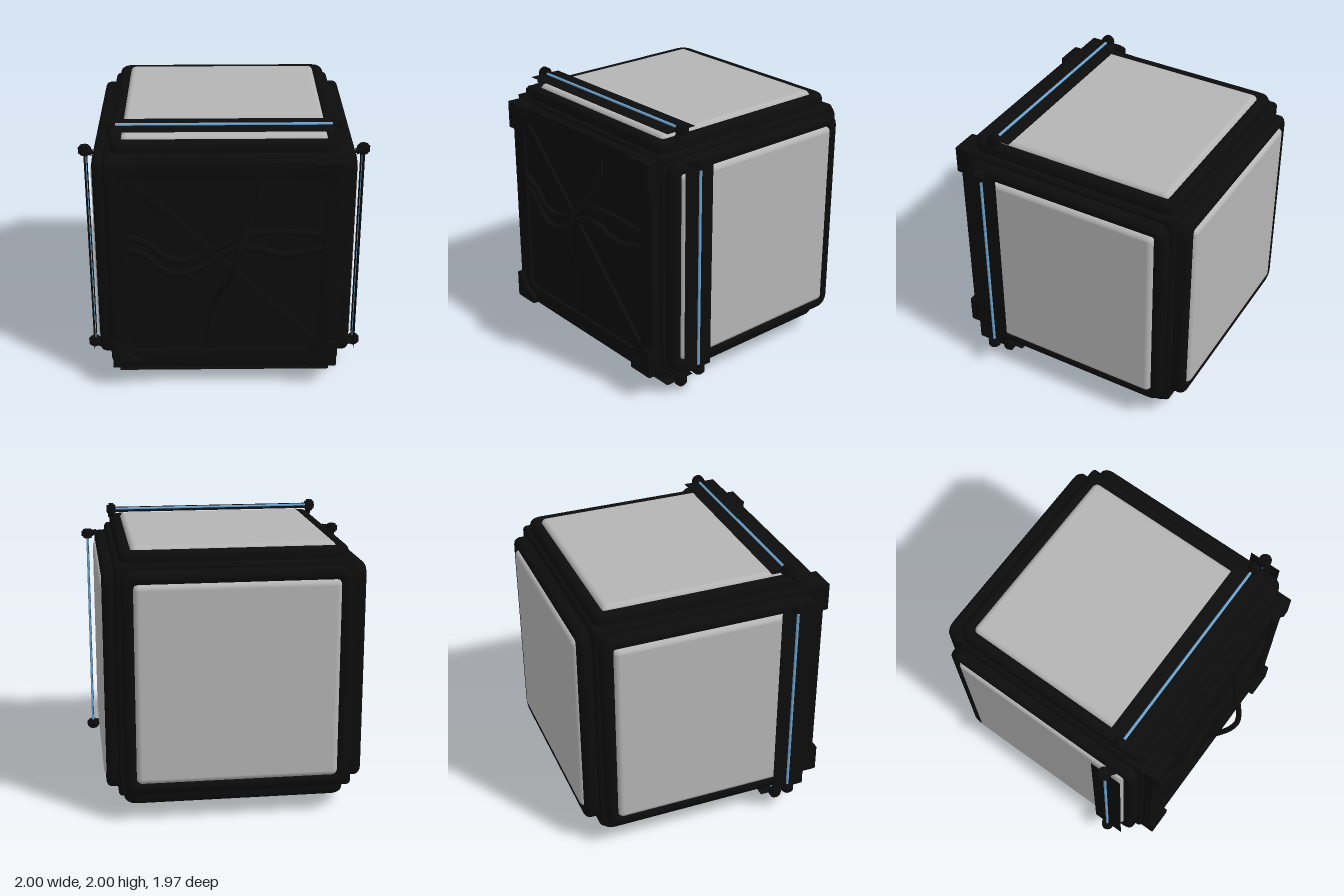
import * as THREE from 'three';
import { RoundedBoxGeometry } from 'three/addons/geometries/RoundedBoxGeometry.js';
import { toCreasedNormals } from 'three/addons/utils/BufferGeometryUtils.js';

const mat = (name, color, side = THREE.FrontSide) => {
  const m = new THREE.MeshStandardMaterial({ color, side });
  m.name = name;
  return m;
};

function add(parent, name, geometry, material, x = 0, y = 0, z = 0) {
  const mesh = new THREE.Mesh(geometry, material);
  mesh.name = name;
  mesh.position.set(x, y, z);
  parent.add(mesh);
  return mesh;
}

// Polygon with rounded corners
function roundedPoly(points, r, Type = THREE.Shape) {
  const path = new Type();
  const v = points.map(p => new THREE.Vector2(...p));
  v.forEach((p, i) => {
    const prev = v[(i + v.length - 1) % v.length], next = v[(i + 1) % v.length];
    const a = p.clone().add(prev.clone().sub(p).setLength(r));
    const b = p.clone().add(next.clone().sub(p).setLength(r));
    i ? path.lineTo(a.x, a.y) : path.moveTo(a.x, a.y);
    path.quadraticCurveTo(p.x, p.y, b.x, b.y);
  });
  path.closePath();
  return path;
}
const square = h => [[-h, -h], [h, -h], [h, h], [-h, h]];

function extrude(shape, depth, bevel, segments = 4) {
  const g = new THREE.ExtrudeGeometry(shape, {
    depth, bevelThickness: bevel, bevelSize: bevel, bevelSegments: segments, curveSegments: 6,
  });
  return toCreasedNormals(g, 0.6);
}

// Round rod between two points
function rod(parent, name, a, b, r, material) {
  const curve = new THREE.LineCurve3(new THREE.Vector3(...a), new THREE.Vector3(...b));
  return add(parent, name, new THREE.TubeGeometry(curve, 1, r, 10), material);
}

export function createModel() {
  const model = new THREE.Group();
  model.name = 'illuminatedCube';
  const black = mat('blackPlastic', 0x0c0c0c);
  const blackSheet = mat('blackSheet', 0x0c0c0c, THREE.DoubleSide);
  const grey = mat('greyPanel', 0xb4b4b4);
  const blue = mat('blueTube', 0x6ba3d0);

  // Cube body, centred slightly behind the origin
  const cube = new THREE.Group();
  cube.name = 'cube';
  cube.position.set(0, 1, -0.08);
  model.add(cube);
  add(cube, 'core', new RoundedBoxGeometry(1.64, 1.64, 1.62, 3, 0.03), black);

  // Framed panel on each of the five closed faces
  const frameShape = roundedPoly(square(0.74), 0.06);
  frameShape.holes.push(roundedPoly(square(0.73), 0.05, THREE.Path));
  const frameGeo = extrude(frameShape, 0.08, 0.04);
  const panelGeo = new RoundedBoxGeometry(1.4, 1.4, 0.14, 4, 0.04);
  const H = Math.PI / 2;
  const faces = [['left', 0, H], ['right', 0, -H], ['top', -H, 0], ['bottom', H, 0], ['back', 0, Math.PI]];
  for (const [name, rx, ry] of faces) {
    const face = new THREE.Group();
    face.name = name + 'Face';
    face.rotation.set(rx, ry, 0);
    cube.add(face);
    add(face, name + 'Frame', frameGeo, black, 0, 0, 0.78);
    add(face, name + 'Panel', panelGeo, grey, 0, 0, 0.845);
  }

  // Front door: backing plate and a frame with a diagonal brace
  const front = new THREE.Group();
  front.name = 'front';
  front.position.y = 1;
  model.add(front);
  add(front, 'frontBacking', new THREE.BoxGeometry(1.58, 1.58, 0.1), black, 0, 0, 0.725);
  const door = roundedPoly(square(0.785), 0.03);
  door.holes.push(roundedPoly([[-0.68, 0.64], [-0.68, -0.68], [0.64, -0.68]], 0.07, THREE.Path));
  door.holes.push(roundedPoly([[-0.64, 0.69], [0.68, 0.69], [0.68, -0.63]], 0.07, THREE.Path));
  add(front, 'frontBrace', extrude(door, 0.05, 0.01, 2), black, 0, 0, 0.74);

  // Corner brackets with a curved inner edge
  const bracket = new THREE.Shape();
  bracket.moveTo(0.79, 0.79);
  bracket.lineTo(0.61, 0.79);
  bracket.lineTo(0.61, 0.745);
  bracket.quadraticCurveTo(0.72, 0.72, 0.745, 0.61);
  bracket.lineTo(0.79, 0.61);
  bracket.closePath();
  const bracketGeo = extrude(bracket, 0.12, 0.01, 2);
  for (let k = 0; k < 4; k++) {
    add(front, 'cornerBracket', bracketGeo, black, 0, 0, 0.705).rotation.z = k * H;
  }

  // Cables across the front
  const cables = [
    ['upperCable', 0.025, [[-0.69, 0.24, 0.78], [-0.54, 0.2, 0.8], [-0.4, 0.09, 0.81], [-0.28, 0.06, 0.8],
      [-0.1, 0.12, 0.78], [0.1, 0.23, 0.79], [0.28, 0.27, 0.79], [0.48, 0.265, 0.78], [0.69, 0.24, 0.77]]],
    ['lowerCable', 0.025, [[-0.69, 0.14, 0.77], [-0.55, 0.1, 0.79], [-0.42, -0.01, 0.815], [-0.3, -0.04, 0.81],
      [-0.15, 0.01, 0.79], [0.05, 0.13, 0.78], [0.22, 0.15, 0.8], [0.42, 0.1, 0.795], [0.69, 0.14, 0.77]]],
    ['hangingCable', 0.02, [[0.235, 0.69, 0.77], [0.23, 0.52, 0.785], [0.17, 0.38, 0.84], [0.11, 0.24, 0.92],
      [0.065, 0.1, 0.955], [0.02, -0.05, 0.92], [-0.04, -0.18, 0.84], [-0.085, -0.3, 0.785],
      [-0.1, -0.45, 0.77], [-0.12, -0.68, 0.77]]],
  ];
  for (const [name, r, pts] of cables) {
    const curve = new THREE.CatmullRomCurve3(pts.map(p => new THREE.Vector3(...p)));
    add(front, name, new THREE.TubeGeometry(curve, 64, r, 10), black);
  }

  // Light tube, reflector strip and two holders on each side of the front
  for (let k = 0; k < 4; k++) {
    const light = new THREE.Group();
    light.name = 'lightBar';
    light.position.y = 1;
    light.rotation.z = k * H;
    model.add(light);
    rod(light, 'lightTube', [-0.75, 0.955, 0.515], [0.75, 0.955, 0.515], 0.01, blue);
    const strip = add(light, 'reflectorStrip', new THREE.PlaneGeometry(1.54, 0.24), blackSheet, 0, 0.95, 0.52);
    strip.rotation.x = -H;
    for (const s of [-1, 1]) {
      const cap = add(light, 'tubeHolder', new THREE.CylinderGeometry(0.045, 0.045, 0.035, 20), black, s * 0.77, 0.955, 0.515);
      cap.rotation.z = H;
      const hub = add(light, 'holderHub', new THREE.CylinderGeometry(0.032, 0.032, 0.065, 16), black, s * 0.77, 0.955, 0.515);
      hub.rotation.z = H;
      rod(light, 'holderSocket', [s * 0.77, 0.94, 0.53], [s * 0.77, 0.89, 0.57], 0.022, black);
      rod(light, 'holderStalk', [s * 0.77, 0.9, 0.56], [s * 0.77, 0.8, 0.63], 0.012, black);
    }
  }
  return model;
}
